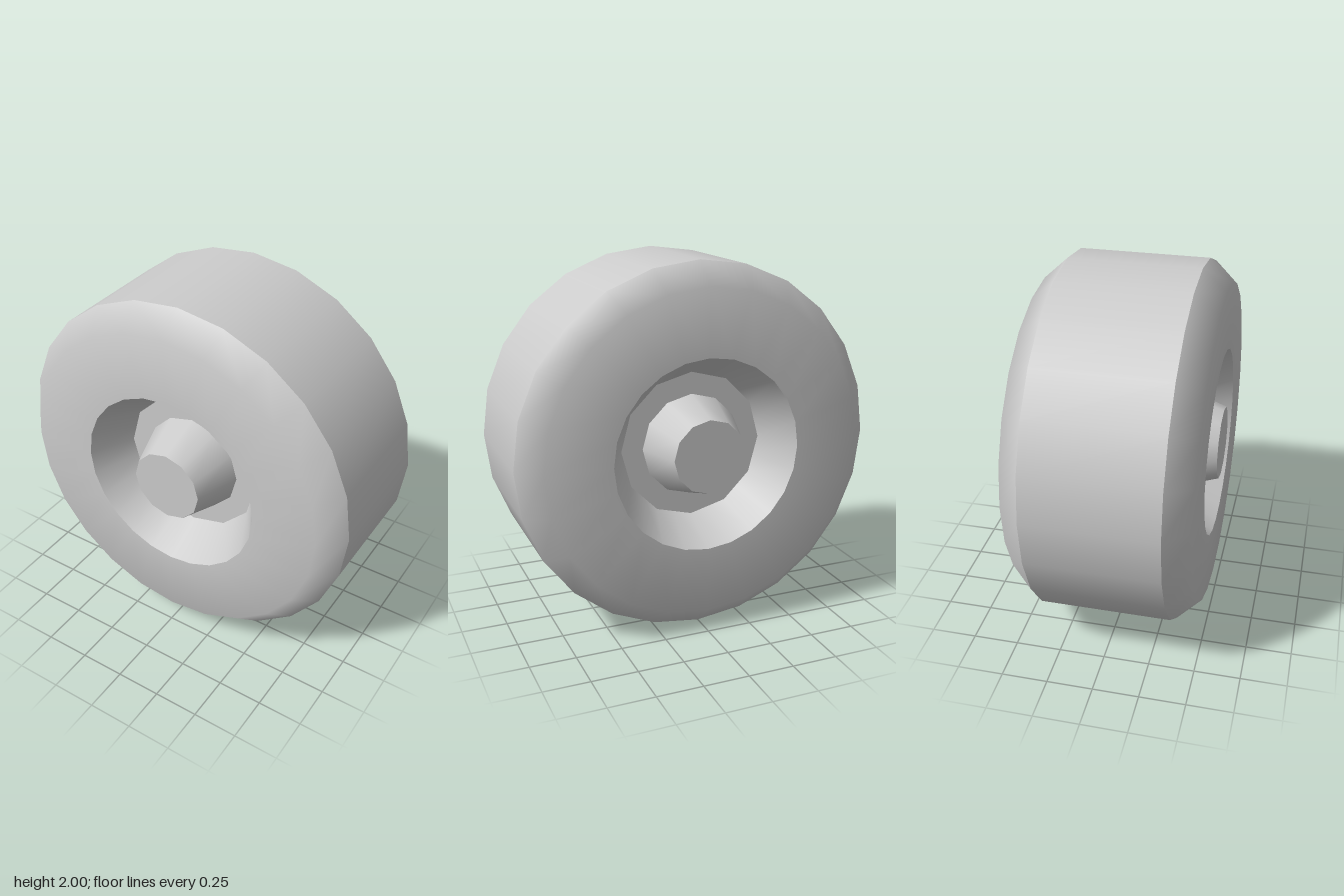
import * as THREE from 'three';

const material = new THREE.MeshStandardMaterial({ color: 0xcccccc });

// Turn a [radius, z] profile around the wheel's axle (z)
function turned(name, profile, sides) {
  const points = profile.map(([r, z]) => new THREE.Vector2(r, z));
  const geometry = new THREE.LatheGeometry(points, sides);
  geometry.rotateX(Math.PI / 2);
  const mesh = new THREE.Mesh(geometry, material);
  mesh.name = name;
  return mesh;
}

// Recess wall: 24-sided at the rim, narrowing to a 12-sided floor
function recessWall() {
  const wall = turned('recessWall', [[0.52, 0.485], [0.4, 0.25]], 24);
  const pos = wall.geometry.attributes.position;
  for (let i = 0; i <= 24; i++) {
    if (i % 2 === 0) continue;
    // pull every second floor vertex onto the chord of the 12-gon
    const v = i * 2 + 1, k = Math.cos(Math.PI / 12);
    pos.setXY(v, pos.getX(v) * k, pos.getY(v) * k);
  }
  return wall;
}

function wheelSide(name) {
  const side = new THREE.Group();
  side.name = name;
  side.add(
    turned('sidewall', [[1, 0.355], [0.88, 0.485], [0.52, 0.485]], 24),
    recessWall(),
    turned('recessFloor', [[0.4, 0.25], [0.28, 0.25]], 12),
    turned('hub', [[0.28, 0.25], [0.2, 0.5]], 12),
    turned('hubCap', [[0.2, 0.5], [0, 0.5]], 12)
  );
  return side;
}

export function createModel() {
  const wheel = new THREE.Group();
  wheel.name = 'wheel';

  wheel.add(turned('tread', [[1, -0.355], [1, 0.355]], 24));

  // Matching front and back sides
  const front = wheelSide('frontSide');
  const back = wheelSide('backSide');
  back.rotation.y = Math.PI;
  wheel.add(front, back);

  wheel.position.y = 1;
  const model = new THREE.Group();
  model.name = 'wheelModel';
  model.add(wheel);
  return model;
}
